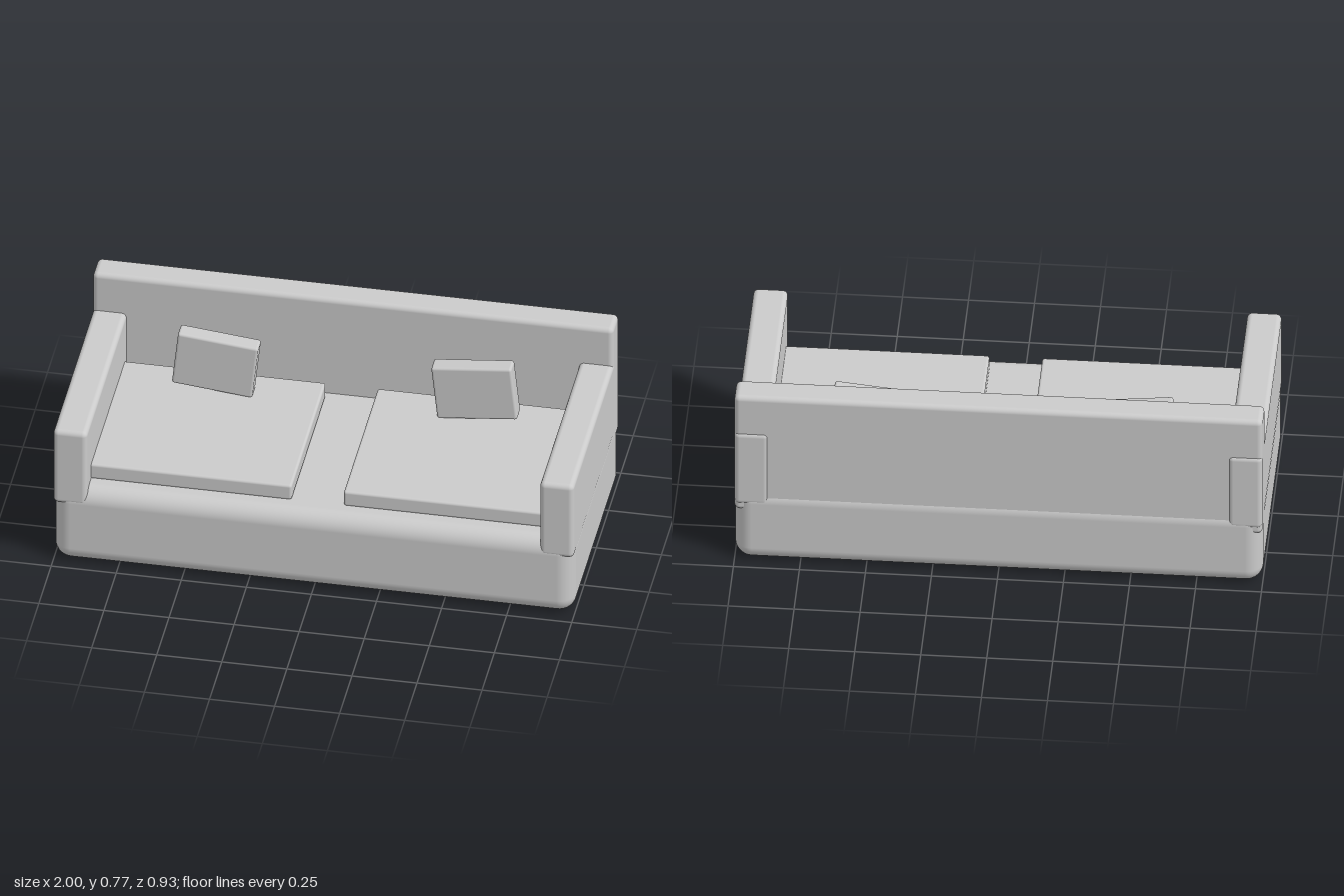
import * as THREE from 'three';
import { RoundedBoxGeometry } from 'three/addons/geometries/RoundedBoxGeometry.js';

export function createModel() {
  const sofa = new THREE.Group();
  sofa.name = 'sofa';
  const material = new THREE.MeshStandardMaterial({ color: 0xcccccc });

  // Rounded block given by its size and centre
  function block(name, size, centre, radius, segments = 4) {
    const mesh = new THREE.Mesh(new RoundedBoxGeometry(...size, segments, radius), material);
    mesh.name = name;
    mesh.position.set(...centre);
    sofa.add(mesh);
    return mesh;
  }

  // Wide base and full-width backrest
  block('base', [2, 0.335, 0.93], [0, 0.1675, 0], 0.065, 6);
  block('backrest', [2, 0.53, 0.115], [0, 0.502, -0.401], 0.02);

  // Arms, seat cushions and tilted pillows, mirrored across x = 0
  for (const [label, side] of [['left', 1], ['right', -1]]) {
    block(label + 'Arm', [0.13, 0.333, 0.93], [side * 0.935, 0.4335, 0], 0.02);
    block(label + 'SeatCushion', [0.8, 0.066, 0.695], [side * 0.5, 0.367, 0.028], 0.01);
    const pillow = block(label + 'Pillow', [0.31, 0.23, 0.07], [side * 0.498, 0.525, -0.205], 0.01);
    pillow.rotation.z = side * 0.105;
  }

  return sofa;
}
